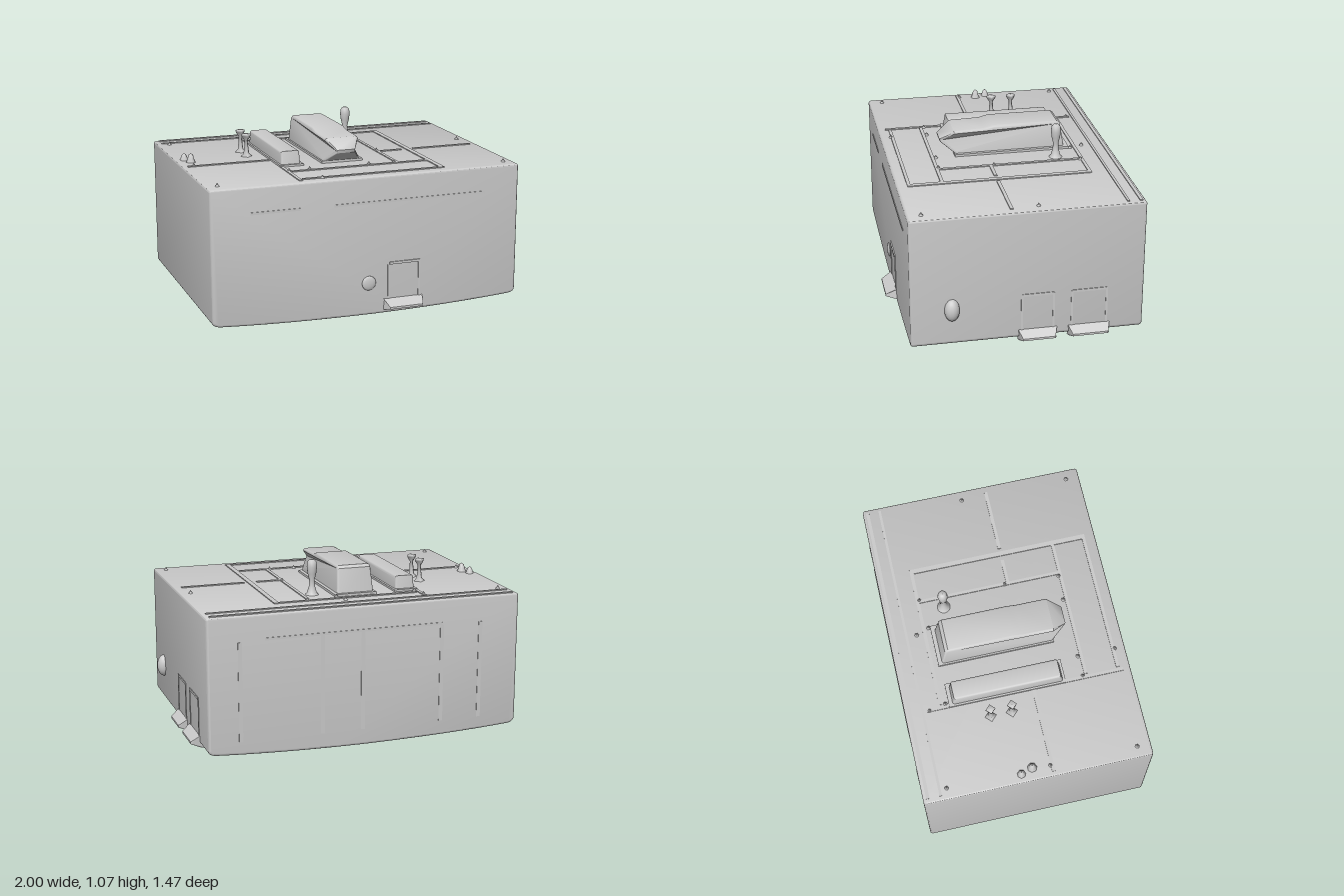
import * as THREE from 'three';
import { toCreasedNormals } from 'three/addons/utils/BufferGeometryUtils.js';

const grey = new THREE.MeshStandardMaterial({ color: 0xcccccc });
const ROOF = 0.855, EAST = 0.945, FRONT = 0.665, BACK = -0.73;

export function createModel() {
  const model = new THREE.Group();

  function add(name, geometry, x = 0, y = 0, z = 0) {
    const mesh = new THREE.Mesh(geometry, grey);
    mesh.name = name;
    mesh.position.set(x, y, z);
    model.add(mesh);
    return mesh;
  }

  // Box between two corners
  function block(name, x0, x1, y0, y1, z0, z1) {
    return add(name, new THREE.BoxGeometry(x1 - x0, y1 - y0, z1 - z0),
      (x0 + x1) / 2, (y0 + y1) / 2, (z0 + z1) / 2);
  }

  // Bevelled prism from a profile, centred on its extrusion axis
  function prism(shape, depth, bevel) {
    const g = new THREE.ExtrudeGeometry(shape, {
      depth: depth - 2 * bevel, bevelEnabled: bevel > 0, bevelSize: bevel,
      bevelThickness: bevel, bevelOffset: -bevel, bevelSegments: 3, curveSegments: 12,
    });
    g.translate(0, 0, -(depth - 2 * bevel) / 2);
    return toCreasedNormals(g, 0.6);
  }

  // Main hall with a gently bellied underside
  const hall = new THREE.Shape();
  hall.moveTo(-1, 0.065);
  hall.quadraticCurveTo(-0.995, 0.035, -0.95, 0.03);
  hall.quadraticCurveTo(-0.55, 0.002, 0, 0);
  hall.quadraticCurveTo(0.5, 0.002, 0.9, 0.03);
  hall.quadraticCurveTo(EAST, 0.035, EAST, 0.065);
  hall.lineTo(EAST, ROOF - 0.015);
  hall.quadraticCurveTo(EAST, ROOF, EAST - 0.015, ROOF);
  hall.lineTo(-0.985, ROOF);
  hall.quadraticCurveTo(-1, ROOF, -1, ROOF - 0.015);
  add('hall', prism(hall, FRONT - BACK, 0.015), 0, 0, (FRONT + BACK) / 2);

  // Low roof ridges: x0, x1, z0, z1
  [
    [-0.97, 0.92, -0.71, -0.69], [-0.97, 0.92, -0.63, -0.615],
    [-0.97, -0.45, 0.05, 0.07], [0.27, 0.42, 0.05, 0.07], [0.5, 0.9, 0.05, 0.07],
    [-0.42, 0.48, -0.52, -0.5], [0.45, 0.48, -0.5, 0.58],
    [-0.42, 0.45, 0.38, 0.4], [-0.42, 0.48, 0.58, 0.6],
    [0.25, 0.27, -0.5, 0.38], [-0.45, -0.43, -0.6, 0.62],
  ].forEach(([x0, x1, z0, z1]) => block('roofRidge', x0, x1, ROOF - 0.01, ROOF + 0.006, z0, z1));

  // Small fixings at the roof panel corners
  [[-0.93, -0.58], [-0.44, -0.58], [0.05, -0.56], [0.27, -0.5], [-0.42, -0.48], [0.08, -0.48],
    [-0.93, 0.05], [0.26, 0.04], [-0.43, 0.37], [-0.3, 0.37], [0.08, 0.37], [0.24, 0.38],
    [-0.93, 0.58], [-0.3, 0.6], [0.88, 0.58], [0.88, -0.1],
  ].forEach(([x, z]) => add('roofFixing', new THREE.ConeGeometry(0.015, 0.025, 6), x, ROOF + 0.01, z));

  // Roof unit: side profile (z, y) extruded across, sides leaning in, nose pinched
  function roofUnit(name, profile, width, x, nose) {
    const g = prism(new THREE.Shape(profile.map(([z, y]) => new THREE.Vector2(-z, y))), width, 0.015);
    g.rotateY(Math.PI / 2);
    const p = g.attributes.position;
    for (let i = 0; i < p.count; i++) {
      const lean = 1 - 0.6 * Math.max(0, p.getY(i) - ROOF);
      const pinch = p.getZ(i) > nose ? 0.55 : 1;
      p.setX(i, p.getX(i) * lean * pinch);
    }
    add(name, toCreasedNormals(g, 0.6), x);
  }
  roofUnit('largeRoofUnit', [[-0.45, 0.84], [-0.42, 1.015], [-0.4, 1.03], [0, 1.03], [0.06, 1.015],
    [0.25, 1.01], [0.335, 0.95], [0.33, 0.93], [0.25, 0.87], [0.24, 0.84]], 0.235, -0.053, 0.28);
  roofUnit('smallRoofUnit', [[-0.44, 0.84], [-0.425, 0.945], [0.23, 0.945], [0.25, 0.84]], 0.125, -0.376, 9);

  // Spread bases around the roof units
  block('largeUnitBase', -0.18, 0.085, ROOF - 0.01, ROOF + 0.014, -0.47, 0.25);
  block('smallUnitBase', -0.45, -0.3, ROOF - 0.01, ROOF + 0.012, -0.46, 0.26);

  // Turned posts: [radius, height above roof]
  function turned(name, points, x, z, sides) {
    const g = new THREE.LatheGeometry(points.map(([r, y]) => new THREE.Vector2(r, y)), sides);
    add(name, g, x, ROOF, z);
  }
  turned('ventStack', [[0.045, -0.005], [0.03, 0.012], [0.019, 0.05], [0.016, 0.09], [0.026, 0.13],
    [0.031, 0.17], [0.028, 0.2], [0.016, 0.213], [0, 0.215]], 0.195, -0.36, 16);
  for (const z of [-0.23, -0.1]) {
    turned('roofPost', [[0.04, -0.005], [0.018, 0.02], [0.013, 0.06], [0.011, 0.1],
      [0.029, 0.128], [0.029, 0.142], [0, 0.145]], -0.555, z, 4);
  }
  turned('cornerSpike', [[0.032, -0.005], [0.022, 0.018], [0.015, 0.045], [0, 0.056]], -0.92, -0.06, 7);
  turned('cornerSpike', [[0.028, -0.005], [0.02, 0.018], [0.012, 0.035], [0, 0.045]], -0.945, -0.13, 7);

  // Sloped canopy lip, built facing +z
  function canopy(name, width, reach) {
    const s = new THREE.Shape([[0.03, 0.015], [0.03, 0.1], [-0.005, 0.09], [-reach, 0.055],
      [-reach, 0.042], [-0.005, 0.025]].map(([x, y]) => new THREE.Vector2(x, y)));
    const g = new THREE.ExtrudeGeometry(s, { depth: width, bevelEnabled: false });
    g.translate(0, 0, -width / 2);
    g.rotateY(Math.PI / 2);
    const p = g.attributes.position;
    for (let i = 0; i < p.count; i++) if (p.getZ(i) > reach - 0.01) p.setX(i, p.getX(i) * 0.85);
    g.computeVertexNormals();
    return add(name, g);
  }
  canopy('frontCanopy', 0.25, 0.067).position.set(0.19, 0, FRONT);
  [[-0.09, 0.23], [-0.4, 0.25]].forEach(([z, w]) => {
    const c = canopy('sideCanopy', w, 0.053);
    c.rotation.y = Math.PI / 2;
    c.position.set(EAST, 0, z);
    // Door frame above the canopy
    block('sideDoorHead', EAST - 0.01, EAST + 0.004, 0.31, 0.325, z - w / 2 + 0.02, z + w / 2 - 0.02);
    for (const s of [-1, 1]) {
      const e = z + s * (w / 2 - 0.02);
      block('sideDoorJamb', EAST - 0.01, EAST + 0.003, 0.08, 0.32, e - 0.006, e + 0.006);
    }
  });

  // Front door frame and the small fitting beside it
  block('frontDoorHead', 0.1, 0.29, 0.305, 0.32, FRONT - 0.01, FRONT + 0.008);
  block('frontDoorJamb', 0.09, 0.102, 0.09, 0.32, FRONT - 0.01, FRONT + 0.005);
  block('frontDoorJamb', 0.288, 0.3, 0.09, 0.32, FRONT - 0.01, FRONT + 0.005);
  const fitting = add('frontFitting', new THREE.SphereGeometry(1, 12, 8), -0.03, 0.2, FRONT);
  fitting.scale.set(0.045, 0.045, 0.012);

  // Rounded lamp on the side wall
  const lamp = add('sideLamp', new THREE.SphereGeometry(1, 16, 12), EAST, 0.265, 0.42);
  lamp.scale.set(0.045, 0.07, 0.045);

  // Shallow sills on the front wall, a ledge and pilasters on the back wall
  block('frontSill', -0.76, -0.46, 0.69, 0.705, FRONT - 0.01, FRONT + 0.004);
  block('frontSill', -0.25, 0.72, 0.69, 0.705, FRONT - 0.01, FRONT + 0.004);
  block('backLedge', -0.5, 0.6, 0.7, 0.715, BACK - 0.004, BACK + 0.01);
  for (const x of [-0.75, -0.5, 0, 0.25, 0.75]) {
    block('backPilaster', x - 0.012, x + 0.012, 0.1, 0.7, BACK - 0.003, BACK + 0.01);
  }
  return model;
}
